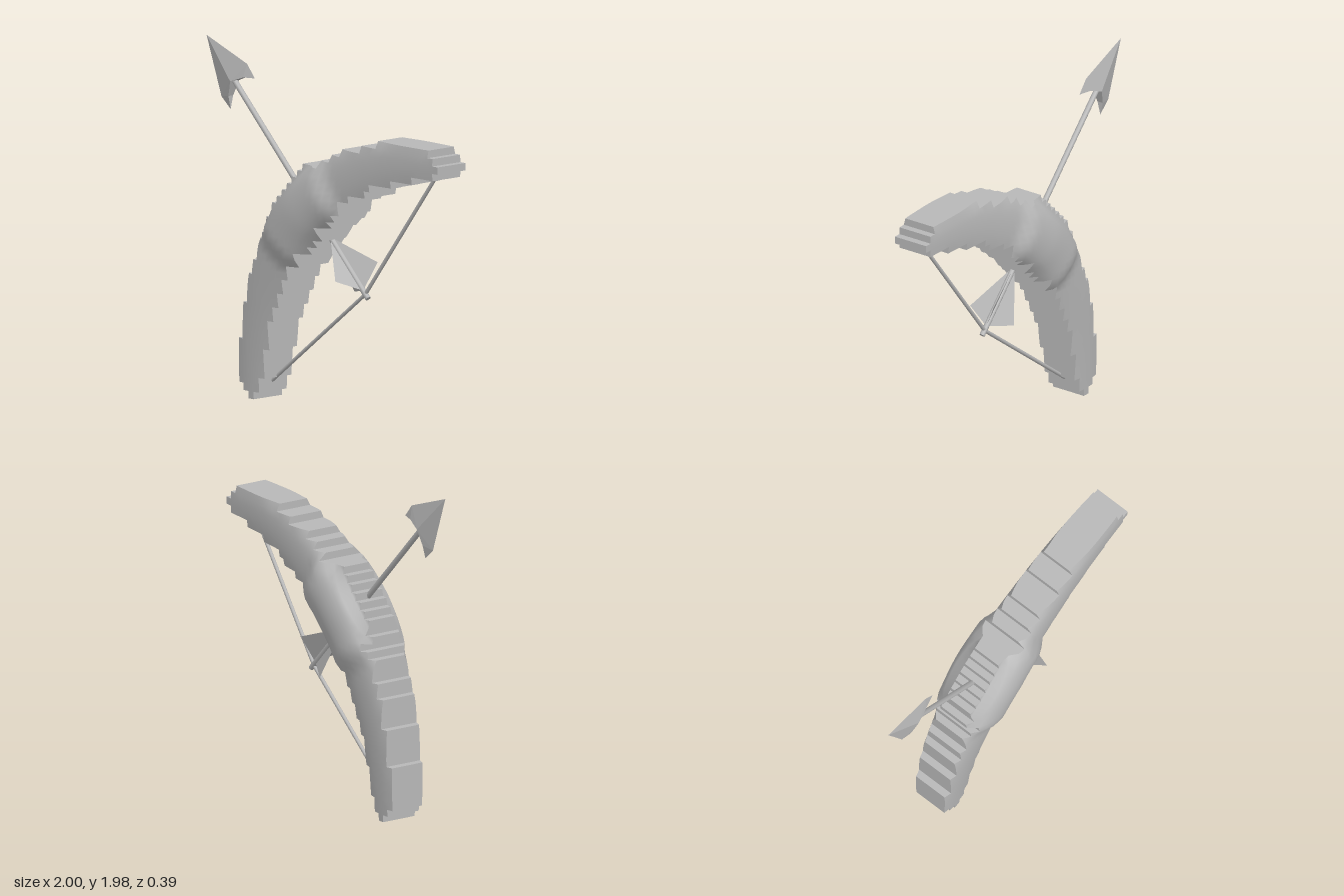
import * as THREE from 'three';

export function createModel() {
  const model = new THREE.Group();
  const grey = new THREE.MeshStandardMaterial({ color: 0xb8b8b8, side: THREE.DoubleSide });
  grey.name = 'plain grey';
  const add = (parent, name, geometry) => {
    const mesh = new THREE.Mesh(geometry, grey);
    mesh.name = name;
    parent.add(mesh);
    return mesh;
  };

  // Bow: a stepped outline of square cells, first and last column for each row from the bottom
  const P = 1 / 24, X0 = -0.625;
  const first = [2, 1, 0, 0, 0, 0, 0, 0, 1, 1, 1, 1, 1, 2, 2, 2, 2, 3, 3, 4, 4, 4, 5, 6, 5, 6, 6, 7, 8, 9, 10, 11, 12, 16, 18, 20, 24, 27];
  const last = [3, 4, 4, 5, 5, 5, 5, 6, 6, 6, 6, 7, 7, 8, 8, 9, 9, 10, 10, 12, 12, 14, 15, 16, 16, 18, 19, 20, 20, 22, 25, 26, 30, 34, 38, 39, 38, 37];
  const inside = (i, j) => j >= 0 && j < first.length && i >= first[j] && i < last[j];

  // Thickness swells towards the centre line and again at the grip
  const spine = new THREE.CatmullRomCurve3([
    [-0.53, 0.02], [-0.5, 0.3], [-0.395, 0.65], [-0.11, 1.09], [0.31, 1.35], [0.66, 1.455], [0.98, 1.48],
  ].map(([x, y]) => new THREE.Vector3(x, y, 0))).getSpacedPoints(200);
  const height = (x, y) => {
    let best = 9, u = 0;
    spine.forEach((p, k) => {
      const d = Math.hypot(p.x - x, p.y - y);
      if (d < best) { best = d; u = k / 200; }
    });
    const off = Math.abs(u - 0.5) * 2;
    const halfWidth = 0.18 - 0.08 * off * off;
    const swell = 0.06 - 0.047 * off + 0.042 * (1 - THREE.MathUtils.smoothstep(off, 0.2, 0.28));
    const t = best / halfWidth;
    return 0.094 + swell * Math.sqrt(Math.max(0, 1 - t * t)) - 0.04 * Math.max(0, Math.min(t - 1, 0.4));
  };

  const facePos = [], faceIndex = [], edgePos = [], ids = new Map();
  const corner = (i, j) => {
    const key = i + ',' + j;
    if (!ids.has(key)) {
      const x = X0 + i * P, y = j * P, z = height(x, y);
      ids.set(key, facePos.length / 3);
      facePos.push(x, y, z, x, y, -z);
    }
    return ids.get(key);
  };
  const at = (k) => facePos.slice(k * 3, k * 3 + 3);
  for (let j = 0; j < first.length; j++) {
    for (let i = first[j]; i < last[j]; i++) {
      const c = [corner(i, j), corner(i + 1, j), corner(i + 1, j + 1), corner(i, j + 1)];
      const b = c.map((k) => k + 1);
      faceIndex.push(c[0], c[1], c[2], c[0], c[2], c[3], b[0], b[2], b[1], b[0], b[3], b[2]);
      // Flat wall wherever the neighbouring cell is empty
      [[0, -1], [1, 0], [0, 1], [-1, 0]].forEach(([di, dj], s) => {
        if (inside(i + di, j + dj)) return;
        const n = (s + 1) % 4;
        [b[s], b[n], c[n], b[s], c[n], c[s]].forEach((k) => edgePos.push(...at(k)));
      });
    }
  }
  const bow = new THREE.Group();
  bow.name = 'bow';
  model.add(bow);
  const build = (positions, index) => {
    const g = new THREE.BufferGeometry();
    g.setAttribute('position', new THREE.Float32BufferAttribute(positions, 3));
    if (index) g.setIndex(index);
    g.computeVertexNormals();
    return g;
  };
  add(bow, 'bowSides', build(facePos, faceIndex));
  add(bow, 'bowSteppedEdge', build(edgePos));

  // Rod between two points
  const rod = (parent, name, a, b, radius) => {
    const from = new THREE.Vector3(...a), dir = new THREE.Vector3(...b).sub(from);
    const mesh = add(parent, name, new THREE.CylinderGeometry(radius, radius, dir.length(), 8));
    mesh.position.copy(from).addScaledVector(dir, 0.5);
    mesh.quaternion.setFromUnitVectors(new THREE.Vector3(0, 1, 0), dir.normalize());
  };

  // Drawn string
  const nock = [0.295, 0.68, 0];
  rod(model, 'upperString', [0.9, 1.45, 0], nock, 0.011);
  rod(model, 'lowerString', [-0.49, 0.08, 0], nock, 0.011);

  // Arrow: local x runs back from the tip, local y to the side
  const arrow = new THREE.Group();
  arrow.name = 'arrow';
  arrow.position.set(-1, 1.98, 0);
  arrow.rotation.z = -Math.PI / 4;
  model.add(arrow);
  rod(arrow, 'shaft', [0.3, 0, 0], [1.867, 0, 0], 0.016);

  // Barbed head, mirrored across both planes
  const head = [];
  for (const s of [1, -1]) {
    const tip = [0, 0, 0], edge = [0.32, 0.148 * s, 0], barb = [0.418, 0.14 * s, 0];
    const notch = (z) => [0.365, 0.085 * s, 0.018 * z], ridge = (z) => [0.325, 0, 0.035 * z];
    for (const z of [1, -1]) {
      const tris = [[tip, ridge(z), edge], [ridge(z), notch(z), edge], [edge, notch(z), barb]];
      tris.forEach(([a, b, c]) => head.push(...(s * z > 0 ? [a, b, c] : [a, c, b]).flat()));
    }
    const back = [[ridge(1), ridge(-1), notch(1)], [ridge(-1), notch(-1), notch(1)], [notch(1), notch(-1), barb]];
    back.forEach(([a, b, c]) => head.push(...(s > 0 ? [a, b, c] : [a, c, b]).flat()));
  }
  add(arrow, 'arrowHead', build(head));

  // Three feather vanes around the shaft
  const vane = new THREE.Shape([[1.43, 0], [1.724, 0.155], [1.81, 0]].map((p) => new THREE.Vector2(...p)));
  for (let k = 0; k < 3; k++) {
    add(arrow, 'vane' + (k + 1), new THREE.ShapeGeometry(vane)).rotation.x = Math.PI / 2 + k * Math.PI * 2 / 3;
  }
  return model;
}
